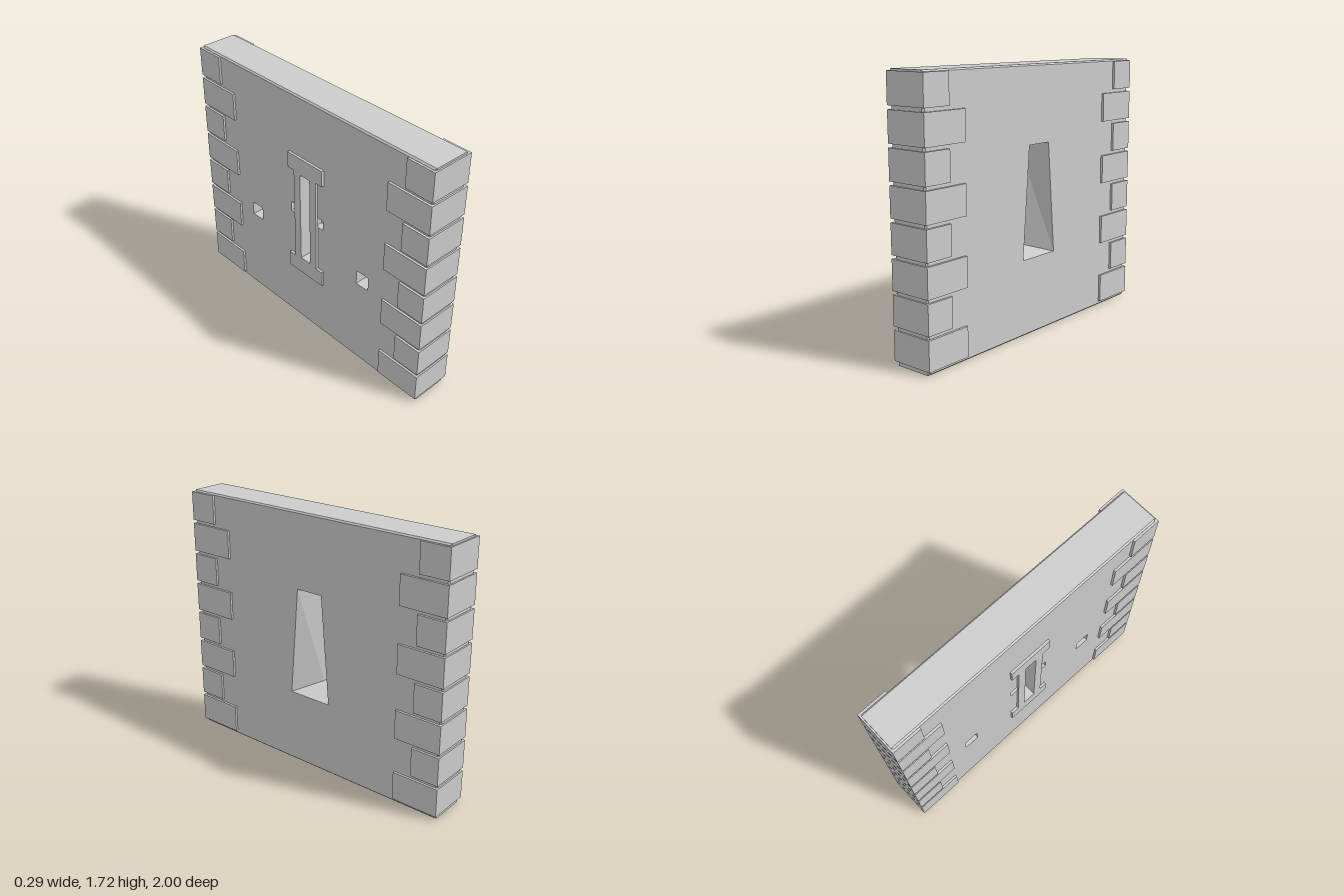
import * as THREE from 'three';

const material = new THREE.MeshStandardMaterial({ color: 0xcccccc });

// Wall plane: u runs along the wall, v is up, w is the thickness.
const rect = (u0, u1, v0, v1) => [[u0, v0], [u1, v0], [u1, v1], [u0, v1]];
const toPath = (pts) => pts.map(([u, v]) => new THREE.Vector2(u, v));

function makeShape(pts, holes = []) {
  const shape = new THREE.Shape(toPath(pts));
  shape.holes = holes.map((h) => new THREE.Path(toPath(h)));
  return shape;
}

// Skin between loops of equal length; rising w faces outward, falling w inward.
function loft(sections) {
  const pos = [];
  for (let s = 0; s + 1 < sections.length; s++) {
    const [l0, w0] = sections[s], [l1, w1] = sections[s + 1];
    l0.forEach((p, i) => {
      const j = (i + 1) % l0.length;
      const a = [...p, w0], b = [...l0[j], w0], c = [...l1[j], w1], d = [...l1[i], w1];
      pos.push(...a, ...b, ...c, ...a, ...c, ...d);
    });
  }
  const g = new THREE.BufferGeometry();
  g.setAttribute('position', new THREE.Float32BufferAttribute(pos, 3));
  g.computeVertexNormals();
  return g;
}

export function createModel() {
  const root = new THREE.Group();
  root.name = 'wallSegment';
  const wall = new THREE.Group();
  wall.name = 'wall';
  wall.rotation.y = Math.PI / 2;
  root.add(wall);

  const add = (name, geometry) => {
    const mesh = new THREE.Mesh(geometry, material);
    mesh.name = name;
    wall.add(mesh);
    return mesh;
  };
  // Flat face looking towards -w (all such layouts are mirrored about u = 0)
  const backFace = (name, shape, w) => {
    const mesh = add(name, new THREE.ShapeGeometry(shape));
    mesh.rotation.y = Math.PI;
    mesh.position.z = w;
  };

  const T = 0.13, H = 1.72, L = 0.99, B = 0.01;
  const outline = rect(-L, L, 0, H);
  const inset = rect(-L + B, L - B, B, H - B);
  const flare = [[-0.155, 0.5], [0.155, 0.5], [0.095, 1.225], [-0.095, 1.225]];
  const slot = rect(-0.043, 0.043, 0.54, 1.19);

  // Shallow pockets on the back: cross arms beside the slit and two beam holes
  const pockets = [];
  for (const s of [-1, 1]) {
    const span = (a, b) => (s > 0 ? [a, b] : [-b, -a]);
    pockets.push({ name: 'crossArm', loop: rect(...span(0.08, 0.15), 0.86, 0.93), depth: 0.05 });
    pockets.push({ name: 'beamHole', loop: rect(...span(0.45, 0.55), 0.62, 0.72), depth: 0.1 });
  }

  // Wall body with chamfered rim
  add('wallRim', loft([[inset, -T], [outline, -T + B], [outline, T - B], [inset, T]]));
  add('wallFace', new THREE.ShapeGeometry(makeShape(inset, [flare]))).position.z = T;
  backFace('wallBack', makeShape(inset, [slot, ...pockets.map((p) => p.loop)]), -T);

  // Splayed opening narrowing to the slit
  add('slitLining', loft([[flare, T], [slot, -0.07], [slot, -T]]));

  for (const { name, loop, depth } of pockets) {
    add(name + 'Lining', loft([[loop, -T + depth], [loop, -T]]));
    const mirrored = loop.map(([u, v]) => [-u, v]);
    backFace(name + 'Floor', makeShape(mirrored), -T + depth);
  }

  // Raised surround of the slit, with wide sill and lintel
  const frame = [
    [-0.155, 0.42], [0.155, 0.42], [0.155, 0.53], [0.1, 0.53], [0.1, 1.2], [0.155, 1.2],
    [0.155, 1.31], [-0.155, 1.31], [-0.155, 1.2], [-0.1, 1.2], [-0.1, 0.53], [-0.155, 0.53],
  ];
  add('slitSurround', new THREE.ExtrudeGeometry(makeShape(frame, [slot]),
    { depth: 0.017, bevelEnabled: false })).position.z = -0.147;

  // Corner stones, alternately long and short
  for (const side of [-1, 1]) {
    for (let i = 0; i < 8; i++) {
      const length = i % 2 ? 0.195 : 0.32;
      const stone = add('cornerStone', new THREE.BoxGeometry(length, 0.19, 0.29));
      stone.position.set(side * (1 - length / 2), 0.122 + i * 0.2131, 0);
    }
  }
  return root;
}
